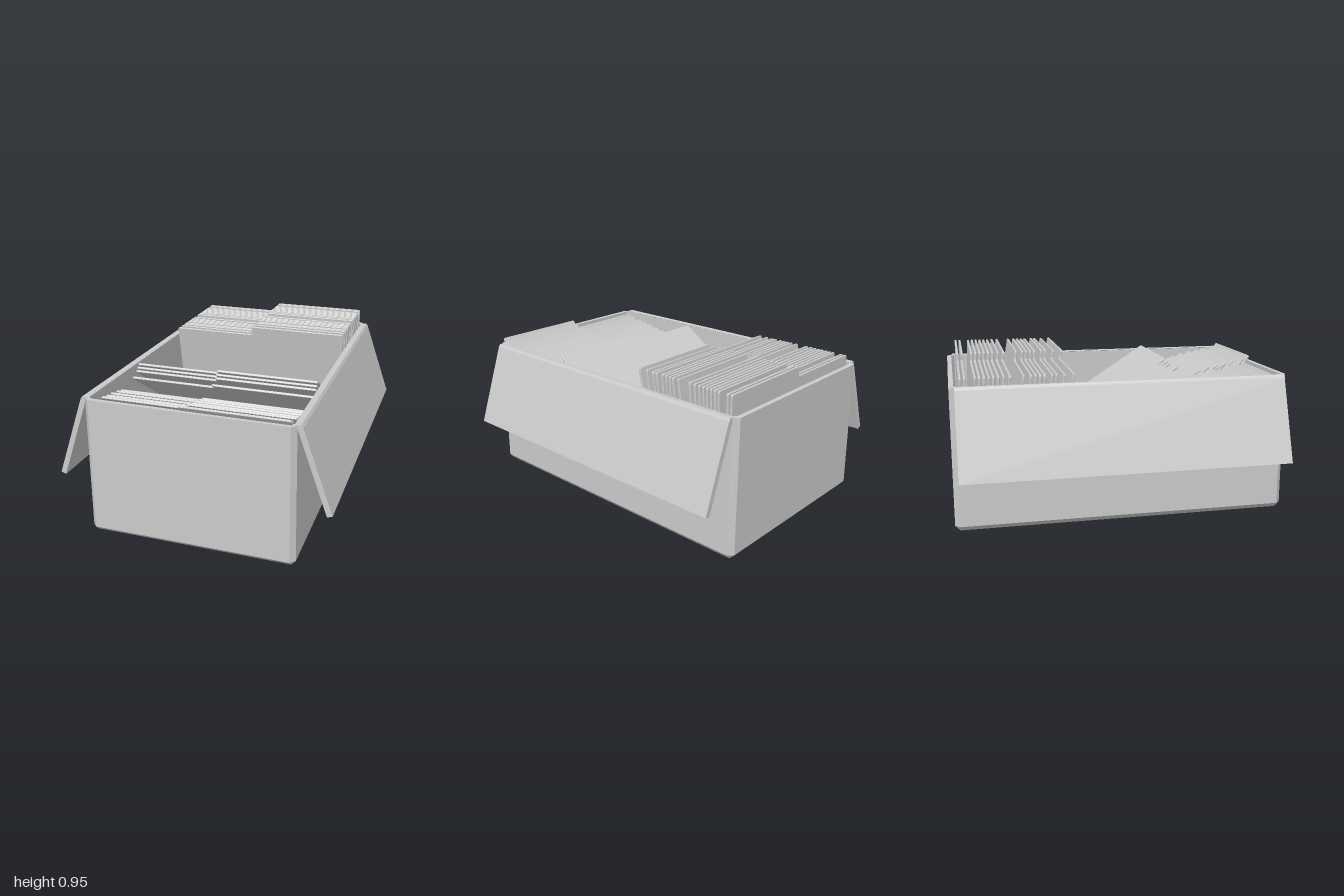
import * as THREE from 'three';

const material = new THREE.MeshStandardMaterial({ color: 0xcccccc, flatShading: true, side: THREE.DoubleSide });

// Rectangle with cut corners, listed anticlockwise when seen from above
function ring(hx, hz, c, y) {
  return [
    [hx, hz - c], [hx, -hz + c], [hx - c, -hz], [-hx + c, -hz],
    [-hx, -hz + c], [-hx, hz - c], [-hx + c, hz], [hx - c, hz],
  ].map(([x, z]) => new THREE.Vector3(x, y, z));
}

// Skin consecutive rings and close both ends with fans
function loft(rings) {
  const points = [];
  const n = rings[0].length;
  for (let r = 0; r < rings.length - 1; r++) {
    for (let i = 0; i < n; i++) {
      const j = (i + 1) % n;
      const [a, b, c, d] = [rings[r][i], rings[r][j], rings[r + 1][j], rings[r + 1][i]];
      points.push(a, b, c, a, c, d);
    }
  }
  const first = rings[0], last = rings[rings.length - 1];
  for (let i = 1; i < n - 1; i++) {
    points.push(first[0], first[i + 1], first[i], last[0], last[i], last[i + 1]);
  }
  const geometry = new THREE.BufferGeometry().setFromPoints(points);
  geometry.computeVertexNormals();
  return geometry;
}

// Folder sheet: low edge on the right half, raised tab on the left half
const TAB = 0.92;
function folderGeometry() {
  const low = 0.862, step = -0.04, r = 0.012, t = 0.01;
  const s = new THREE.Shape();
  s.moveTo(-0.583, 0);
  s.lineTo(0.58, 0);
  s.lineTo(0.58, TAB - r);
  s.quadraticCurveTo(0.58, TAB, 0.58 - r, TAB);
  s.lineTo(step + r, TAB);
  s.quadraticCurveTo(step, TAB, step, TAB - r);
  s.lineTo(step, low + r);
  s.quadraticCurveTo(step, low, step - r, low);
  s.lineTo(-0.583 + r, low);
  s.quadraticCurveTo(-0.583, low, -0.583, low - r);
  s.closePath();
  const geometry = new THREE.ExtrudeGeometry(s, {
    depth: t, curveSegments: 3, bevelEnabled: true,
    bevelThickness: 0.002, bevelSize: 0.002, bevelOffset: -0.002, bevelSegments: 1,
  });
  return geometry.translate(0, 0, -t / 2);
}

export function createModel() {
  const model = new THREE.Group();
  const add = (parent, geometry, name) => {
    const mesh = new THREE.Mesh(geometry, material);
    mesh.name = name;
    parent.add(mesh);
    return mesh;
  };

  // Open box: chamfered base, outer walls, rim, inner walls, floor
  add(model, loft([
    ring(0.595, 0.97, 0.002, 0),
    ring(0.62, 1, 0.028, 0.03),
    ring(0.607, 1, 0.028, 0.84),
    ring(0.588, 0.972, 0.02, 0.84),
    ring(0.59, 0.972, 0.02, 0.03),
  ]), 'box');

  // Side flaps hanging outwards from the rim
  for (const side of [1, -1]) {
    const s = new THREE.Shape([
      [0.592, 0.842], [0.605, 0.825], [0.78, 0.335], [0.81, 0.345], [0.637, 0.828], [0.625, 0.845],
    ].map(([x, y]) => new THREE.Vector2(x * side, y)));
    const geometry = new THREE.ExtrudeGeometry(s, { depth: 1.94, bevelEnabled: false });
    add(model, geometry.translate(0, 0, -0.97), side > 0 ? 'leftFlap' : 'rightFlap');
  }

  // Place a folder by the height and depth of its tab edge and its forward tilt
  const sheet = folderGeometry();
  const addFolder = (parent, z, y, degrees) => {
    const tilt = THREE.MathUtils.degToRad(degrees);
    const folder = add(parent, sheet, 'folder');
    folder.rotation.x = tilt;
    folder.position.set(0, y - TAB * Math.cos(tilt), z - TAB * Math.sin(tilt));
  };

  // Upright folders at the back: [tab z, tilt]
  const upright = new THREE.Group();
  upright.name = 'uprightFolders';
  [
    [-0.285, 11], [-0.34, 10], [-0.387, 8], [-0.412, 8], [-0.457, 5], [-0.483, 5], [-0.51, 5],
    [-0.535, 6], [-0.573, 9], [-0.653, 6], [-0.688, 5], [-0.72, 4], [-0.747, 4], [-0.773, 3],
    [-0.8, 3], [-0.826, 3], [-0.852, 2], [-0.91, 1], [-0.937, 0],
  ].forEach(([z, tilt]) => addFolder(upright, z, 0.948, tilt));
  model.add(upright);

  // Folders slumped towards the front: [tab z, tab y, tilt]
  const leaning = new THREE.Group();
  leaning.name = 'leaningFolders';
  [
    [0.405, 0.868, 57], [0.422, 0.85, 57], [0.44, 0.834, 57], [0.495, 0.81, 57],
    [0.62, 0.77, 56], [0.655, 0.785, 56], [0.71, 0.8, 55],
    [0.775, 0.815, 52], [0.79, 0.805, 52], [0.83, 0.825, 48], [0.88, 0.838, 45],
    [0.955, 0.852, 41], [0.99, 0.87, 35],
  ].forEach(([z, y, tilt]) => addFolder(leaning, z, y, tilt));
  model.add(leaning);

  return model;
}
